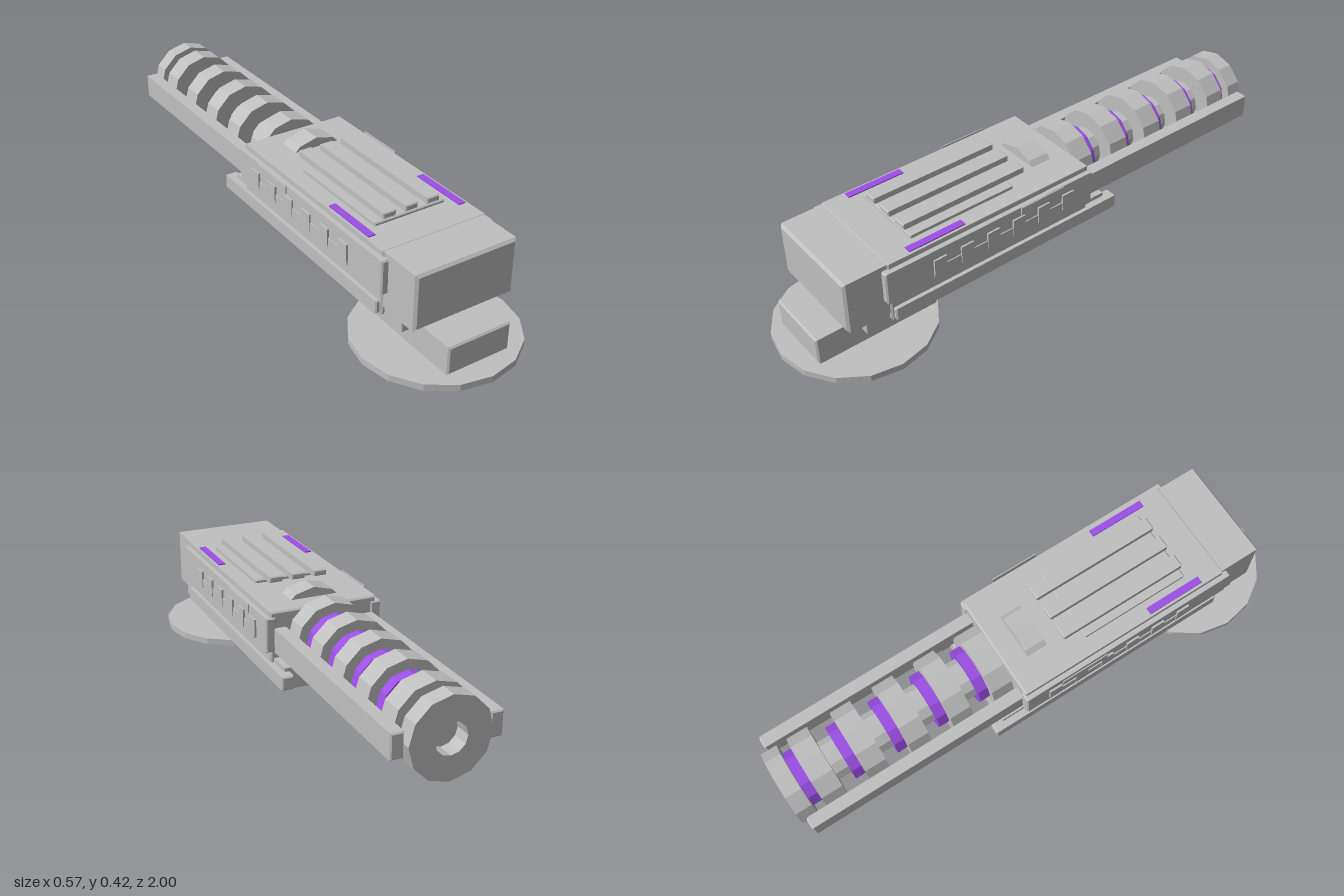
import * as THREE from 'three';

const grey = new THREE.MeshStandardMaterial({ color: 0xc0c0c0 });
grey.name = 'metalGrey';
const purple = new THREE.MeshStandardMaterial({ color: 0xa855f7 });
purple.name = 'energyPurple';

const BARREL_Y = 0.27;

export function createModel() {
  const root = new THREE.Group();
  root.name = 'cannon';

  const add = (name, geometry, material = grey) => {
    const mesh = new THREE.Mesh(geometry, material);
    mesh.name = name;
    root.add(mesh);
    return mesh;
  };

  // Box given by its limits, with chamfered edges when c > 0
  const block = (name, [x0, x1], [y0, y1], [z0, z1], c = 0, material = grey) => {
    const w = x1 - x0, h = y1 - y0, d = z1 - z0;
    let g;
    if (c > 0) {
      const a = w / 2 - c, b = h / 2 - c;
      const s = new THREE.Shape([[-a, -b], [a, -b], [a, b], [-a, b]].map(p => new THREE.Vector2(...p)));
      g = new THREE.ExtrudeGeometry(s, {
        depth: d - 2 * c, bevelEnabled: true, bevelSegments: 1, bevelSize: c, bevelThickness: c,
      });
      g.translate(0, 0, c - d / 2);
    } else {
      g = new THREE.BoxGeometry(w, h, d);
    }
    g.translate((x0 + x1) / 2, (y0 + y1) / 2, (z0 + z1) / 2);
    return add(name, g, material);
  };

  // The same block on both sides
  const pair = (name, [x0, x1], y, z, c, material) => {
    block(name + 'Left', [x0, x1], y, z, c, material);
    block(name + 'Right', [-x1, -x0], y, z, c, material);
  };

  // Faceted solid ring along z
  const ring = (name, r, z0, z1, material = grey) => {
    const g = new THREE.CylinderGeometry(r, r, z1 - z0, 12).toNonIndexed();
    g.rotateX(Math.PI / 2);
    g.computeVertexNormals();
    g.translate(0, BARREL_Y, (z0 + z1) / 2);
    add(name, g, material);
  };

  // Faceted turned part from [radius, height] points
  const turned = (points, sides) =>
    new THREE.LatheGeometry(points.map(p => new THREE.Vector2(...p)), sides).toNonIndexed();

  // Foot: round plate with a pinhole, and a chamfered block
  const plate = turned([[0.008, 0], [0.286, 0], [0.286, 0.024], [0.008, 0.024], [0.008, 0]], 16);
  plate.computeVertexNormals();
  add('basePlate', plate.translate(0, 0, 0.715));
  block('footBlock', [-0.122, 0.122], [0.029, 0.134], [0.46, 0.93], 0.006);

  // Body
  block('bottomSlab', [-0.188, 0.188], [0.123, 0.205], [-0.235, 0.78], 0.003);
  block('mainBody', [-0.2, 0.2], [0.136, 0.374], [-0.145, 0.69], 0.006);
  block('frontBlock', [-0.194, 0.194], [0.169, 0.372], [0.6, 0.848], 0.009);
  pair('lowerStrip', [0.17, 0.214], [0.14, 0.19], [-0.275, 0.68], 0.005);
  pair('sidePanel', [0.18, 0.218], [0.23, 0.355], [-0.15, 0.71], 0.005);

  // Toothed relief on each side panel
  pair('reliefStrip', [0.216, 0.222], [0.245, 0.288], [-0.04, 0.53]);
  for (let i = 0; i < 6; i++) {
    const z = 0.53 - i * 0.108;
    pair('reliefTooth' + i, [0.216, 0.225], [0.255, 0.32], [z - 0.05, z]);
  }
  pair('sightPlate', [0.2245, 0.228], [0.33, 0.36], [-0.01, 0.175]);

  // Top deck: vent plate, three ribs and light strips
  block('ventPlate', [-0.139, 0.139], [0.372, 0.386], [0.14, 0.56], 0.004);
  [-0.086, 0, 0.086].forEach((x, i) =>
    block('ventRib' + i, [x - 0.025, x + 0.025], [0.394, 0.416], [0.07, 0.567], 0.004));
  pair('lightStrip', [0.165, 0.191], [0.371, 0.378], [0.38, 0.6], 0, purple);

  // Rails beside the barrel
  pair('barrelRail', [0.143, 0.187], [0.228, 0.315], [-0.98, -0.13], 0.005);

  // Barrel with coils and glowing rings
  ring('barrelCore', 0.075, -0.94, 0);
  for (let i = 0; i < 6; i++) {
    const z = -0.065 - i * 0.1675;
    ring('coil' + i, 0.14, z, z + 0.08);
    if (i > 0) ring('glowRing' + i, 0.105, z - 0.038, z, purple);
  }

  // Muzzle with a recessed bore
  const muzzle = turned([[0, 0.01], [0.14, 0.01], [0.14, 0.07], [0.055, 0.07], [0.055, 0.012], [0, 0.012]], 12);
  muzzle.rotateX(-Math.PI / 2);
  muzzle.computeVertexNormals();
  add('muzzle', muzzle.translate(0, BARREL_Y, -0.93));

  return root;
}
